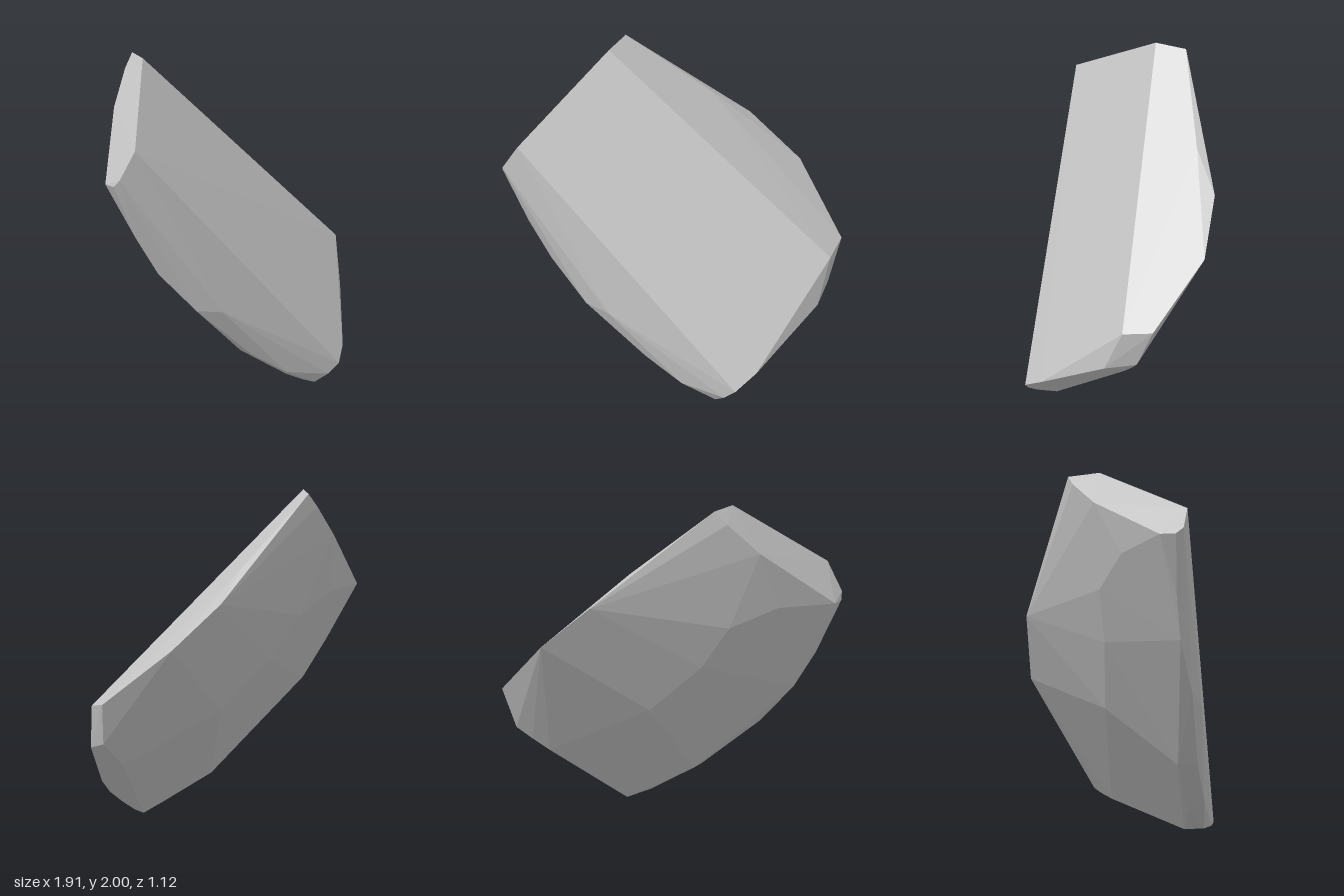
import * as THREE from 'three';
import { ConvexGeometry } from 'three/addons/geometries/ConvexGeometry.js';

// A chipped boulder: the convex hull of its corner points, grouped by region.
const corners = {
  frontSlab: [[-0.45, 2, -0.05], [-0.84, 1.56, 0.52], [0.575, 0.115, 0.555],
    [0.67, 0.2, 0.44], [0.91, 0.48, 0], [0.95, 0.755, -0.12]],
  topRidge: [[-0.41, 2, -0.245], [0.08, 1.6, -0.41], [0.28, 1.4, -0.56],
    [0.6, 1.13, -0.56], [0.955, 0.785, -0.31]],
  upperEnd: [[-0.48, 1.915, -0.21], [-0.64, 1.715, -0.07], [-0.955, 1.34, 0.36],
    [-0.955, 1.34, 0.46], [-0.94, 1.385, 0.505]],
  lowerEnd: [[0.905, 0.525, -0.2], [0.82, 0.45, -0.15], [0.735, 0.37, -0.08],
    [0.42, 0, 0.39], [0.43, 0.005, 0.51], [0.5, 0.055, 0.55]],
  underside: [[0.28, 0.055, 0.43], [0.22, 0.09, 0.53], [-0.02, 0.225, 0.39],
    [-0.02, 0.225, 0.51], [-0.4, 0.525, 0.51], [-0.24, 0.51, 0.555],
    [-0.64, 0.77, 0.46], [-0.79, 1, 0.45]],
  back: [[0.089, 0.672, -0.063], [-0.24, 0.962, -0.039], [-0.429, 1.228, -0.054],
    [-0.687, 1.344, 0.104]],
};

export function createModel() {
  const group = new THREE.Group();
  group.name = 'rock';
  const stone = new THREE.MeshStandardMaterial({ color: 0xc4c4c4 });
  stone.name = 'stone grey';
  stone.flatShading = true;

  const points = Object.values(corners).flat().map((p) => new THREE.Vector3(...p));
  const boulder = new THREE.Mesh(new ConvexGeometry(points), stone);
  boulder.name = 'boulder';
  group.add(boulder);
  return group;
}
